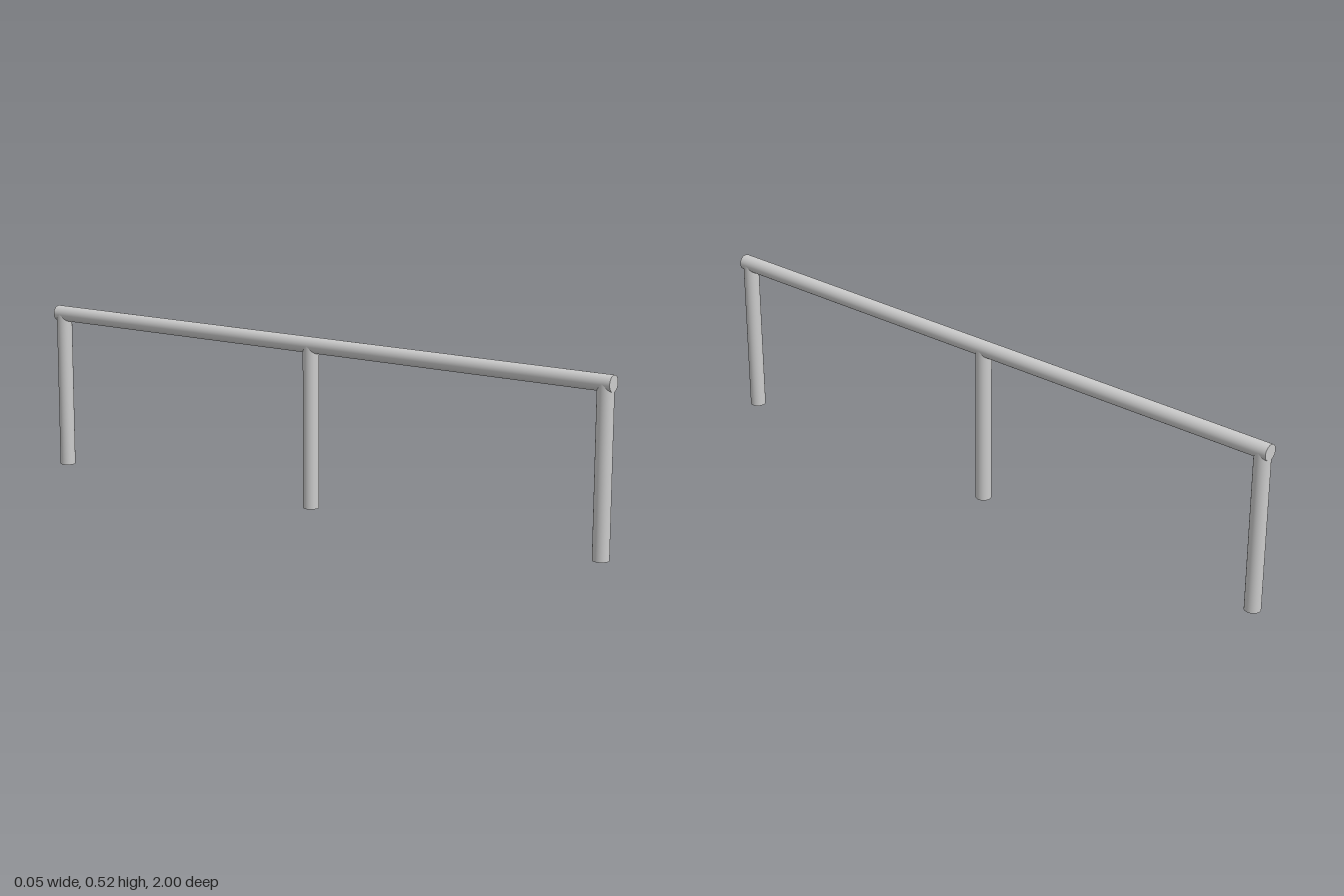
import * as THREE from 'three';

const RADIUS = 0.024;
const LENGTH = 2;
const RAIL_Y = 0.492;
const SIDES = 48;

export function createModel() {
  const group = new THREE.Group();
  group.name = 'handrail';
  const material = new THREE.MeshStandardMaterial({ color: 0xcccccc });

  // Horizontal rail along z
  const rail = new THREE.Mesh(new THREE.CylinderGeometry(RADIUS, RADIUS, LENGTH, SIDES), material);
  rail.name = 'rail';
  rail.rotation.x = Math.PI / 2;
  rail.position.y = RAIL_Y;
  group.add(rail);

  // Upright posts, ending on the rail's axis; outer posts flush with its ends
  const postGeometry = new THREE.CylinderGeometry(RADIUS, RADIUS, RAIL_Y, SIDES);
  const endZ = LENGTH / 2 - RADIUS;
  const posts = { frontPost: endZ, middlePost: 0, backPost: -endZ };
  for (const [name, z] of Object.entries(posts)) {
    const post = new THREE.Mesh(postGeometry, material);
    post.name = name;
    post.position.set(0, RAIL_Y / 2, z);
    group.add(post);
  }

  return group;
}
